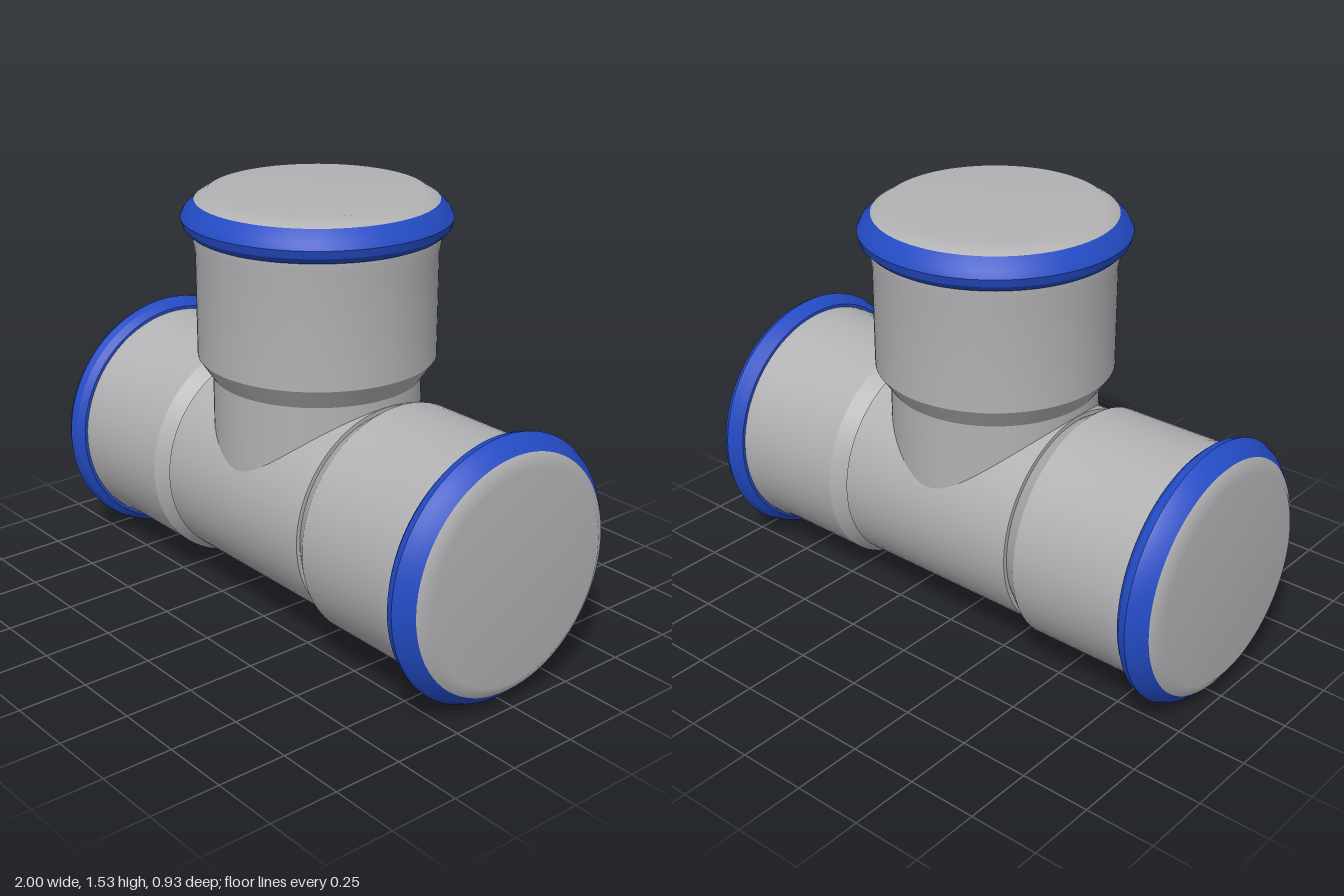
import * as THREE from 'three';
import { toCreasedNormals } from 'three/addons/utils/BufferGeometryUtils.js';

const SEGMENTS = 72;
const AXIS_Y = 0.463;

const pipeGrey = new THREE.MeshStandardMaterial({ color: 0xb2b2b5 });
pipeGrey.name = 'pipe grey';
const collarBlue = new THREE.MeshStandardMaterial({ color: 0x234bc4 });
collarBlue.name = 'collar blue';

function named(name, geometry, material) {
  const mesh = new THREE.Mesh(geometry, material);
  mesh.name = name;
  return mesh;
}

// Revolves [radius, height] pairs about the y axis.
function turn(profile, creased = true) {
  const points = profile.map(([r, h]) => new THREE.Vector2(r, h));
  const geometry = new THREE.LatheGeometry(points, SEGMENTS);
  return creased ? toCreasedNormals(geometry, 0.5) : geometry;
}

// A widened end along +y: flared sleeve, blue collar and closing cap.
function makeSocket(name, startRadius, start, shoulder, end) {
  const group = new THREE.Group();
  group.name = name;
  group.add(
    named('sleeve', turn([
      [startRadius - 0.03, start], [startRadius, start], [0.415, shoulder],
      [0.415, end - 0.21], [0.422, end - 0.165], [0.422, end - 0.13],
    ]), pipeGrey),
    named('collar', turn([
      [0.415, end - 0.137], [0.433, end - 0.137], [0.455, end - 0.115],
      [0.463, end - 0.087], [0.45, end - 0.062], [0.415, end - 0.028],
    ]), collarBlue),
    // Soft normals give the cap its slightly domed look
    named('cap', turn([[0.415, end - 0.028], [0.37, end], [0, end]], false), pipeGrey),
  );
  return group;
}

export function createModel() {
  const model = new THREE.Group();
  model.name = 'pipeTee';

  // Straight run
  const run = new THREE.CylinderGeometry(0.39, 0.39, 0.73, SEGMENTS);
  run.rotateZ(Math.PI / 2);
  const body = named('runBody', run, pipeGrey);
  body.position.y = AXIS_Y;
  model.add(body);

  // Sockets at both ends of the run
  for (const side of [1, -1]) {
    const socket = makeSocket(side > 0 ? 'leftSocket' : 'rightSocket', 0.375, 0.365, 0.425, 1);
    socket.rotation.z = -side * Math.PI / 2;
    socket.position.y = AXIS_Y;
    model.add(socket);
  }

  // Upright branch: neck rising out of the run, then its socket
  const neck = named('branchNeck',
    new THREE.CylinderGeometry(0.363, 0.363, 0.36, SEGMENTS, 1, true), pipeGrey);
  neck.position.y = AXIS_Y + 0.245;
  const branch = makeSocket('branchSocket', 0.365, 0.42, 0.494, 1.069);
  branch.position.y = AXIS_Y;
  model.add(neck, branch);

  return model;
}
